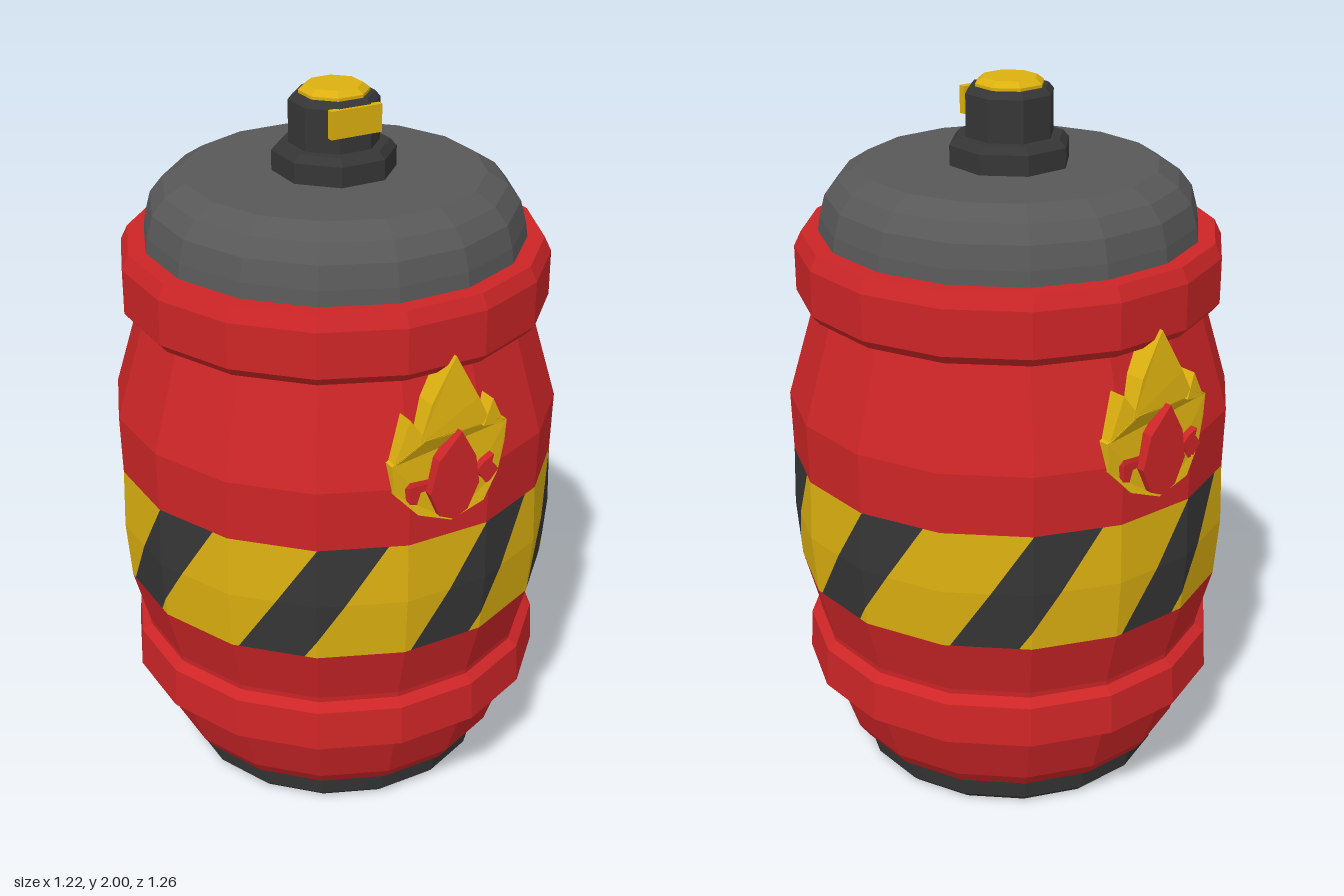
import * as THREE from 'three';

const SIDES = 16;
const mat = (name, color) => {
  const m = new THREE.MeshStandardMaterial({ color });
  m.name = name;
  return m;
};

// Give every facet its own flat normal
function faceted(geometry) {
  const g = geometry.index ? geometry.toNonIndexed() : geometry;
  g.computeVertexNormals();
  return g;
}

// Revolve a [half width across flats, height] profile, flats facing the axes
function turned(name, profile, material, sides = SIDES) {
  const k = 1 / Math.cos(Math.PI / sides);
  const points = profile.map(([r, y]) => new THREE.Vector2(r * k, y));
  const mesh = new THREE.Mesh(faceted(new THREE.LatheGeometry(points, sides, Math.PI / sides)), material);
  mesh.name = name;
  return mesh;
}

// Keep the part of a convex polygon where sign * (p[axis] - limit) >= 0
function clip(poly, axis, limit, sign) {
  const out = [];
  poly.forEach((p, i) => {
    const q = poly[(i + 1) % poly.length];
    const dp = sign * (p[axis] - limit), dq = sign * (q[axis] - limit);
    if (dp >= 0) out.push(p);
    if (dp * dq < 0) {
      const t = dp / (dp - dq);
      out.push([p[0] + (q[0] - p[0]) * t, p[1] + (q[1] - p[1]) * t]);
    }
  });
  return out;
}

// Band rows: [half width, height]
const BAND = [[0.596, 0.612], [0.609, 0.78], [0.604, 0.95]];

// Point on the faceted band; u counts facets, v counts rows
function bandPoint(u, v, facet, row) {
  const t = v - row;
  const r = THREE.MathUtils.lerp(BAND[row][0], BAND[row + 1][0], t) / Math.cos(Math.PI / SIDES);
  const y = THREE.MathUtils.lerp(BAND[row][1], BAND[row + 1][1], t);
  const a = (facet - 0.5) * 2 * Math.PI / SIDES, b = (facet + 0.5) * 2 * Math.PI / SIDES;
  const s = u - facet;
  return [
    r * THREE.MathUtils.lerp(Math.sin(a), Math.sin(b), s), y,
    r * THREE.MathUtils.lerp(Math.cos(a), Math.cos(b), s),
  ];
}

// Eight slanted stripes wrapped over the facets; angles in degrees
function stripes(name, bottom, top, material) {
  const toU = (deg) => deg / 22.5 + 0.5;
  const pos = [];
  for (let i = 0; i < 8; i++) {
    const o = i * 45;
    const shape = [
      [toU(bottom[0] + o), 0], [toU(bottom[1] + o), 0],
      [toU(top[1] + o), 2], [toU(top[0] + o), 2],
    ];
    for (let f = Math.floor(shape[0][0]); f <= Math.floor(shape[2][0]); f++) {
      for (let row = 0; row < 2; row++) {
        let p = clip(clip(shape, 0, f, 1), 0, f + 1, -1);
        p = clip(clip(p, 1, row, 1), 1, row + 1, -1);
        const w = p.map(([u, v]) => bandPoint(u, v, f, row));
        for (let j = 1; j < w.length - 1; j++) pos.push(...w[0], ...w[j], ...w[j + 1]);
      }
    }
  }
  const g = new THREE.BufferGeometry();
  g.setAttribute('position', new THREE.Float32BufferAttribute(pos, 3));
  const mesh = new THREE.Mesh(faceted(g), material);
  mesh.name = name;
  return mesh;
}

// Extruded plate whose front is shaped by a depth rule
function plate(name, outline, back, front, material) {
  const shape = new THREE.Shape(outline.map(([x, y]) => new THREE.Vector2(x, y)));
  const g = new THREE.ExtrudeGeometry(shape, { depth: 1, bevelEnabled: false });
  const p = g.attributes.position;
  for (let i = 0; i < p.count; i++) {
    p.setZ(i, p.getZ(i) > 0.5 ? front(p.getX(i), p.getY(i)) : back);
  }
  const mesh = new THREE.Mesh(faceted(g), material);
  mesh.name = name;
  return mesh;
}

function flameEmblem(yellow, red) {
  const g = new THREE.Group();
  g.name = 'flameEmblem';
  // Lower bowl of the flame and its three tips
  const bowl = [[0, 1.0], [0.1, 1.03], [0.15, 1.1], [0.17, 1.18], [0.175, 1.24], [0.125, 1.26],
    [-0.085, 1.25], [-0.13, 1.22], [-0.17, 1.19], [-0.165, 1.11], [-0.1, 1.04]];
  const middleTip = [[-0.1, 1.245], [0.115, 1.255], [0.08, 1.33], [0.02, 1.45], [-0.06, 1.34]];
  const leftTip = [[0.09, 1.25], [0.165, 1.235], [0.13, 1.31]];
  const rightTip = [[-0.165, 1.19], [-0.08, 1.25], [-0.12, 1.31]];
  const depth = (x, y) => 0.618 - 0.25 * Math.max(0, Math.abs(x) - 0.09) - 0.15 * Math.max(0, y - 1.24);
  g.add(plate('flameBowl', bowl, 0.53, depth, yellow));
  g.add(plate('flameMiddleTip', middleTip, 0.49, depth, yellow));
  g.add(plate('flameLeftTip', leftTip, 0.52, depth, yellow));
  g.add(plate('flameRightTip', rightTip, 0.52, depth, yellow));
  // Red centre drop and spark
  const drop = [[0.015, 1.26], [-0.05, 1.19], [-0.075, 1.1], [-0.045, 1.03], [0, 1.01],
    [0.04, 1.03], [0.073, 1.1], [0.06, 1.18]];
  const spark = [[0.07, 1.13], [0.085, 1.105], [0.11, 1.09], [0.135, 1.12], [0.115, 1.145], [0.12, 1.165], [0.09, 1.15]];
  g.add(plate('flameDrop', drop, 0.58, () => 0.632, red));
  g.add(plate('flameSpark', spark, 0.58, () => 0.626, red));
  return g;
}

export function createModel() {
  const red = mat('red paint', 0xcd2527);
  const yellow = mat('yellow paint', 0xdcb010);
  const black = mat('black', 0x363636);
  const grey = mat('grey lid', 0x585858);
  const model = new THREE.Group();
  model.name = 'barrel';

  // Body shells
  model.add(turned('foot', [[0, 0], [0.41, 0], [0.43, 0.02], [0.443, 0.095], [0, 0.095]], black));
  model.add(turned('lowerBody', [[0.43, 0.09], [0.462, 0.09], [0.49, 0.13], [0.54, 0.28], [0.585, 0.3],
    [0.578, 0.415], [0.552, 0.435], [0.553, 0.45], [0.596, 0.612]], red));
  model.add(turned('upperBody', [[0.604, 0.95], [0.608, 1.12], [0.527, 1.4], [0.555, 1.4], [0.576, 1.425],
    [0.576, 1.55], [0.557, 1.59], [0.48, 1.59]], red));
  model.add(turned('lid', [[0.512, 1.585], [0.506, 1.63], [0.49, 1.69], [0.455, 1.735], [0.4, 1.77], [0, 1.77]], grey));

  // Warning band
  model.add(stripes('yellowStripes', [-37, -9.5], [-16, 11.5], yellow));
  model.add(stripes('blackStripes', [-9.5, 8], [11.5, 29], black));

  // Emblems on front and back
  for (const turn of [0, Math.PI]) {
    const emblem = flameEmblem(yellow, red);
    emblem.rotation.y = turn;
    model.add(emblem);
  }

  // Valve
  model.add(turned('valveBase', [[0.155, 1.765], [0.155, 1.825], [0.138, 1.845], [0.1, 1.845]], black, 8));
  model.add(turned('valveBody', [[0.113, 1.84], [0.113, 1.96], [0.1, 1.977], [0, 1.977]], black, 8));
  model.add(turned('valveButton', [[0.088, 1.97], [0.088, 1.985], [0.07, 2], [0, 2]], yellow, 8));
  const tag = new THREE.Mesh(new THREE.BoxGeometry(0.15, 0.075, 0.02), yellow);
  tag.name = 'valveTag';
  tag.position.set(0, 1.927, 0.11);
  model.add(tag);

  return model;
}
